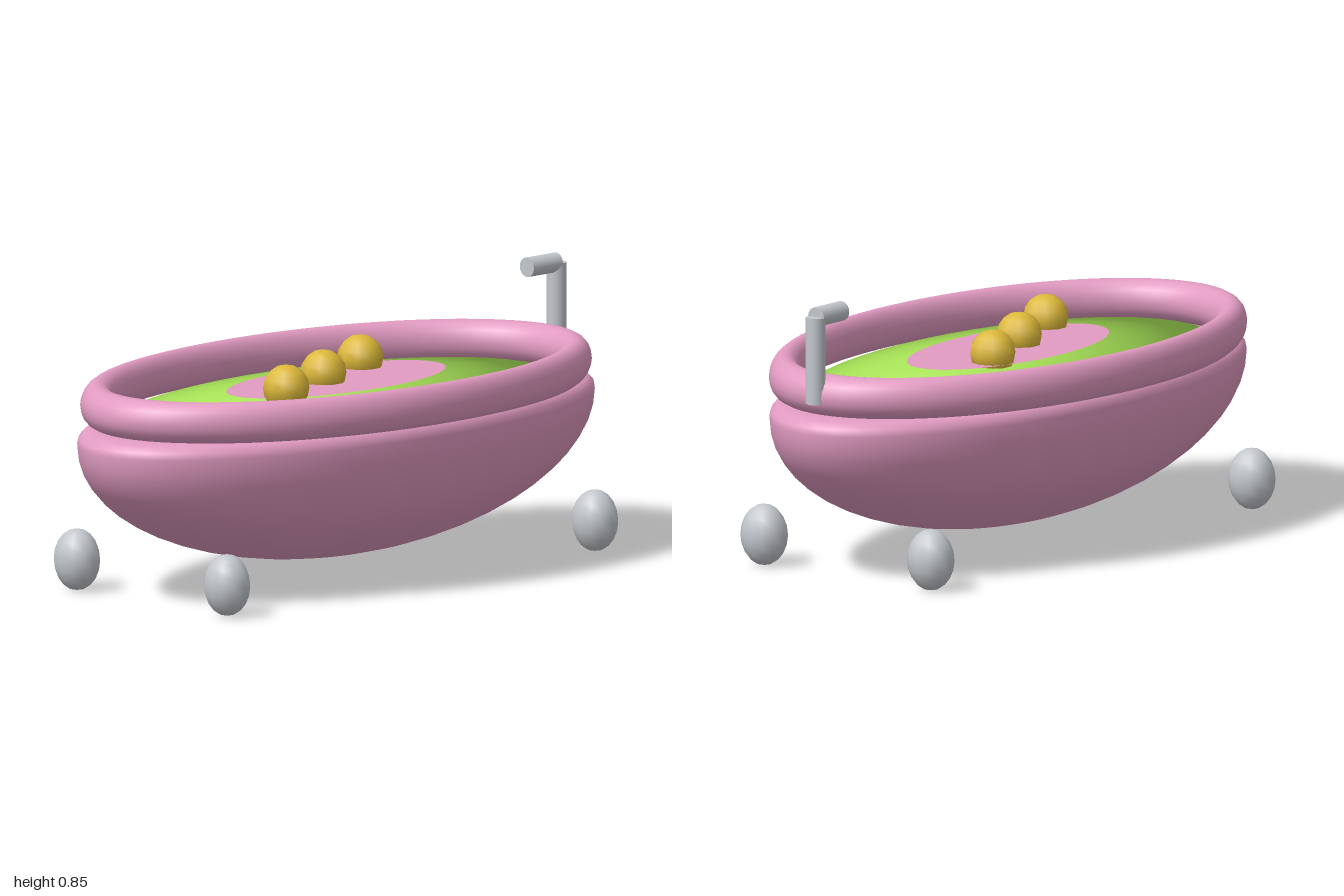
import * as THREE from 'three';

const mat = (name, color, side = THREE.FrontSide) => {
  const m = new THREE.MeshStandardMaterial({ color, side });
  m.name = name;
  return m;
};

export function createModel() {
  const group = new THREE.Group();
  const pink = mat('pink', 0xe29bc2, THREE.DoubleSide);
  const green = mat('green', 0xa5e056);
  const gold = mat('gold', 0xdcb83a);
  const grey = mat('grey', 0xc3c7cc);

  const add = (name, geometry, material, x = 0, y = 0, z = 0) => {
    const mesh = new THREE.Mesh(geometry, material);
    mesh.name = name;
    mesh.position.set(x, y, z);
    group.add(mesh);
    return mesh;
  };

  // Oval tub shell: half ellipsoid with a rounded lip turned in under the rim
  const shell = [];
  for (let i = 0; i <= 14; i++) {
    const a = (i / 14) * Math.PI / 2;
    shell.push(new THREE.Vector2(Math.sin(a), 0.475 - 0.417 * Math.cos(a)));
  }
  for (const [r, y] of [[0.994, 0.495], [0.97, 0.512], [0.93, 0.52], [0.84, 0.521]]) {
    shell.push(new THREE.Vector2(r, y));
  }
  add('tubShell', new THREE.LatheGeometry(shell, 64), pink).scale.z = 0.474;

  // Rolled rim above the shell
  const rim = new THREE.TorusGeometry(0.893, 0.063, 20, 72);
  rim.rotateX(-Math.PI / 2);
  add('rim', rim, pink, 0, 0.58, 0).scale.z = 0.553;

  // Filling: a dome pressed nearly flat that keeps its round, soft shading
  const filling = new THREE.SphereGeometry(1, 48, 16, 0, Math.PI * 2, 0, Math.PI / 2);
  const p = filling.attributes.position;
  for (let i = 0; i < p.count; i++) {
    p.setXYZ(i, p.getX(i) * 0.855, p.getY(i) * 0.064, p.getZ(i) * 0.445);
  }
  add('filling', filling, green, 0, 0.518, 0);

  // Flat oval patch on top of the filling
  const patch = new THREE.CircleGeometry(1, 48);
  patch.rotateX(-Math.PI / 2);
  patch.scale(0.425, 1, 0.2);
  add('ovalPatch', patch, pink, 0, 0.586, 0);

  // Three balls in a diagonal row
  for (const [x, z] of [[-0.32, 0.105], [-0.055, 0], [0.21, -0.105]]) {
    add('ball', new THREE.SphereGeometry(0.071, 10, 8), gold, x, 0.613, z);
  }

  // Egg-shaped feet
  for (const x of [-0.788, 0.788]) {
    for (const z of [-0.317, 0.317]) {
      const foot = new THREE.SphereGeometry(1, 12, 10);
      foot.scale(0.069, 0.094, 0.074);
      add('foot', foot, grey, x, 0.096, z);
    }
  }

  // Tap: upright pipe and spout
  add('tapPipe', new THREE.CylinderGeometry(0.03, 0.03, 0.265, 16), grey, 0.945, 0.693, 0);
  const spout = new THREE.CylinderGeometry(0.03, 0.03, 0.125, 16);
  spout.rotateZ(Math.PI / 2);
  add('tapSpout', spout, grey, 0.88, 0.825, 0);

  return group;
}
